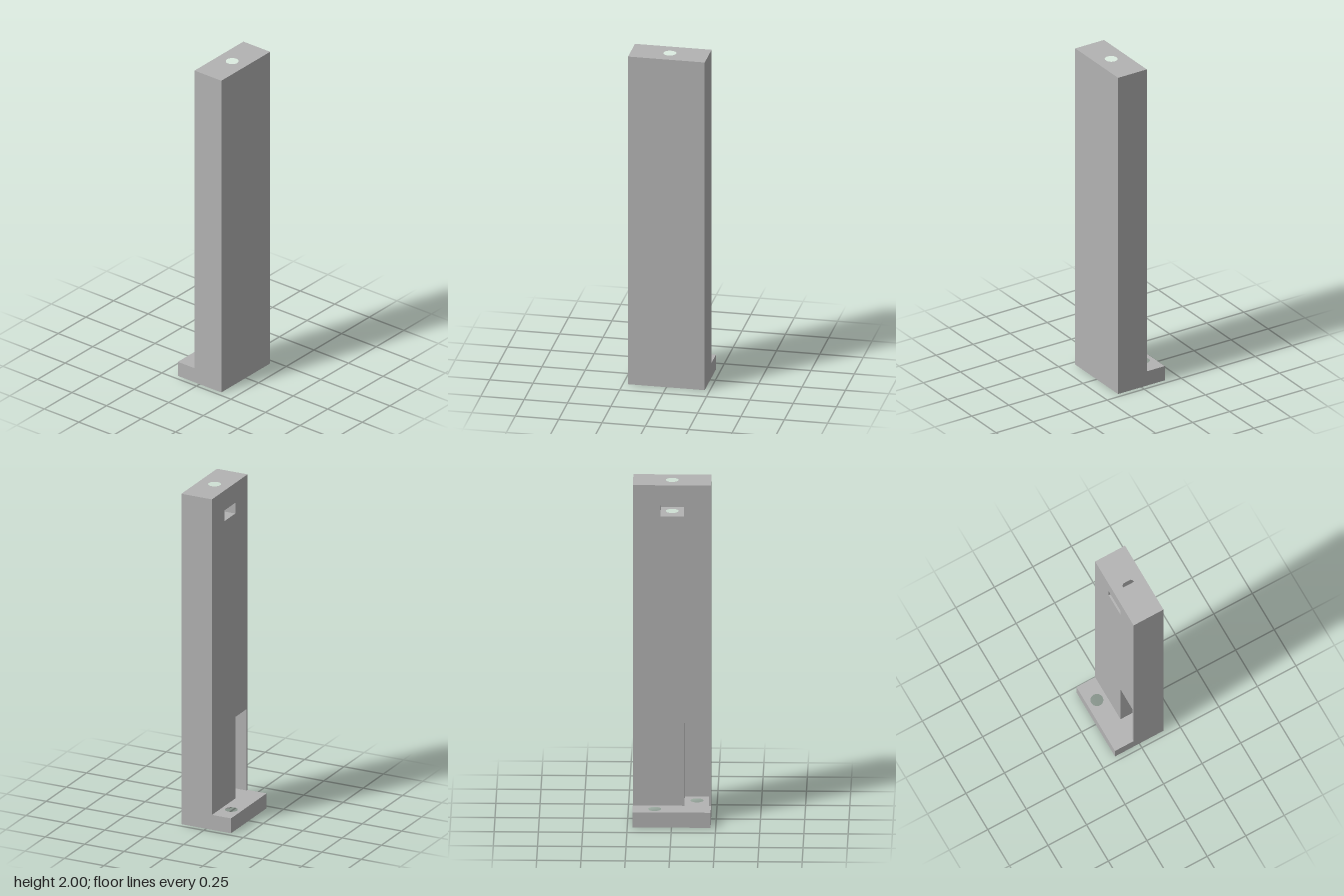
import * as THREE from 'three';
import { toCreasedNormals } from 'three/addons/utils/BufferGeometryUtils.js';

const BACK = -0.158, FACE = -0.037, FRONT = 0.157; // x of foot end, column face, far side
const HALF = 0.221;                                // half width along z
const FOOT = 0.09, HOLE_R = 0.0365;
const POCKET_END = 0.128;                          // how far the recesses reach in x

export function createModel() {
  const grey = new THREE.MeshStandardMaterial({ color: 0xb2b2b2 });
  grey.name = 'grey';
  const group = new THREE.Group();
  group.name = 'mountingPost';

  // Horizontal slab from y0 to y1 with an outline of [x, z] points and round holes at [x, z]
  function slab(name, y0, y1, outline, holes = []) {
    const shape = new THREE.Shape(outline.map(([x, z]) => new THREE.Vector2(x, -z)));
    for (const [x, z] of holes) {
      shape.holes.push(new THREE.Path().absarc(x, -z, HOLE_R, 0, Math.PI * 2, true));
    }
    const geometry = new THREE.ExtrudeGeometry(shape, {
      depth: y1 - y0, bevelEnabled: false, curveSegments: 40,
    });
    geometry.rotateX(-Math.PI / 2).translate(0, y0, 0);
    const mesh = new THREE.Mesh(toCreasedNormals(geometry, 0.6), grey);
    mesh.name = name;
    group.add(mesh);
  }

  const rect = (x0) => [[x0, -HALF], [FRONT, -HALF], [FRONT, HALF], [x0, HALF]];
  // Column outline with a recess cut into its -x face between z0 and z1
  const notched = (z0, z1) => [
    ...rect(FACE), [FACE, z1], [POCKET_END, z1], [POCKET_END, z0], [FACE, z0],
  ];

  // Base with its projecting foot and two through holes
  slab('footPlate', 0, FOOT, rect(BACK), [[-0.096, -0.096], [0.06, 0.14]]);
  // Tall pocket giving access to the bolt hole in the base
  slab('pocketSection', FOOT, 0.583, notched(0.07, 0.21));
  // Plain shaft
  slab('shaft', 0.583, 1.72, rect(FACE));
  // Blind bolt hole from the top, crossed by a nut slot
  slab('boltHoleEnd', 1.72, 1.815, rect(FACE), [[0.059, 0]]);
  slab('nutSlotSection', 1.815, 1.88, notched(-0.065, 0.069));
  slab('topCap', 1.88, 2, rect(FACE), [[0.059, 0]]);

  return group;
}
